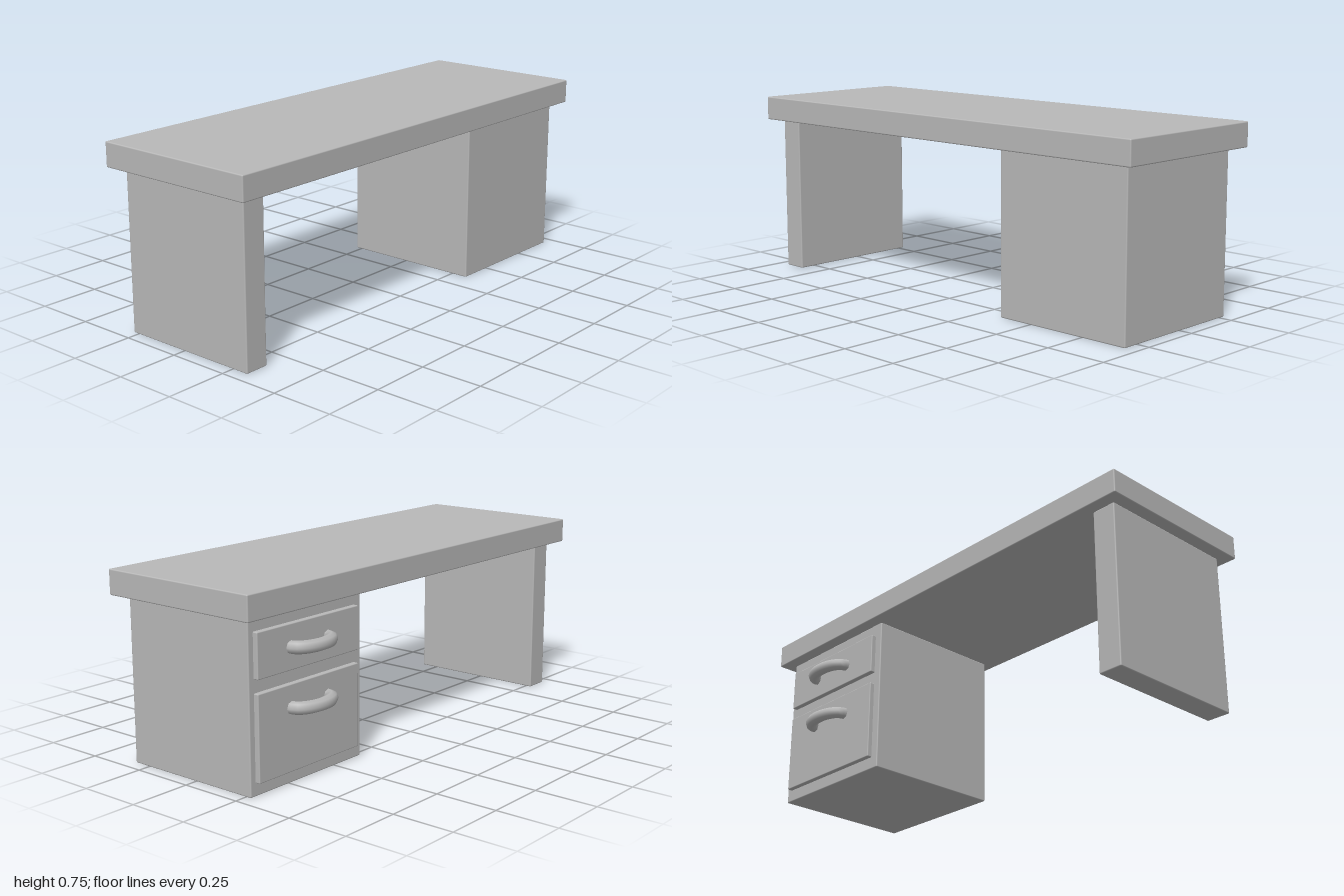
import * as THREE from 'three';
import { RoundedBoxGeometry } from 'three/addons/geometries/RoundedBoxGeometry.js';

const grey = new THREE.MeshStandardMaterial({ color: 0xb8b8b8 });
grey.name = 'grey';

// Softly edged box given by its extents on each axis
function slab(name, [x0, x1], [y0, y1], [z0, z1], radius = 0.005) {
  const geometry = new RoundedBoxGeometry(x1 - x0, y1 - y0, z1 - z0, 2, radius);
  const mesh = new THREE.Mesh(geometry, grey);
  mesh.position.set((x0 + x1) / 2, (y0 + y1) / 2, (z0 + z1) / 2);
  mesh.name = name;
  return mesh;
}

// Bowed pull: half an ellipse standing out towards -x, ends sunk in the drawer
function handle(name, y, z) {
  const points = [];
  for (let i = 0; i <= 8; i++) {
    const a = (Math.PI * i) / 8;
    points.push(new THREE.Vector3(-0.055 * Math.sin(a), 0, -0.1 * Math.cos(a)));
  }
  points.unshift(new THREE.Vector3(0.008, 0, -0.1));
  points.push(new THREE.Vector3(0.008, 0, 0.1));
  const curve = new THREE.CatmullRomCurve3(points);
  const mesh = new THREE.Mesh(new THREE.TubeGeometry(curve, 16, 0.025, 8), grey);
  mesh.position.set(-0.294, y, z);
  mesh.name = name;
  return mesh;
}

export function createModel() {
  const desk = new THREE.Group();
  desk.name = 'desk';

  const bodyX = [-0.275, 0.322];
  const bodyY = [0.003, 0.652];

  // Top, drawer cabinet and end panel
  desk.add(slab('desktop', [-0.325, 0.372], [0.65, 0.748], [-1, 1]));
  desk.add(slab('cabinet', bodyX, bodyY, [-0.95, -0.35]));
  desk.add(slab('panelLeg', bodyX, bodyY, [0.85, 0.95]));

  // Drawer fronts with their handles
  const drawers = [
    ['upper', [0.43, 0.6], 0.515],
    ['lower', [0.053, 0.38], 0.293],
  ];
  for (const [label, yRange, handleY] of drawers) {
    desk.add(slab(label + 'Drawer', [-0.295, -0.265], yRange, [-0.925, -0.385], 0.004));
    desk.add(handle(label + 'Handle', handleY, -0.655));
  }

  // Rest the base on the ground
  desk.position.y = -0.003;
  const model = new THREE.Group();
  model.add(desk);
  return model;
}
